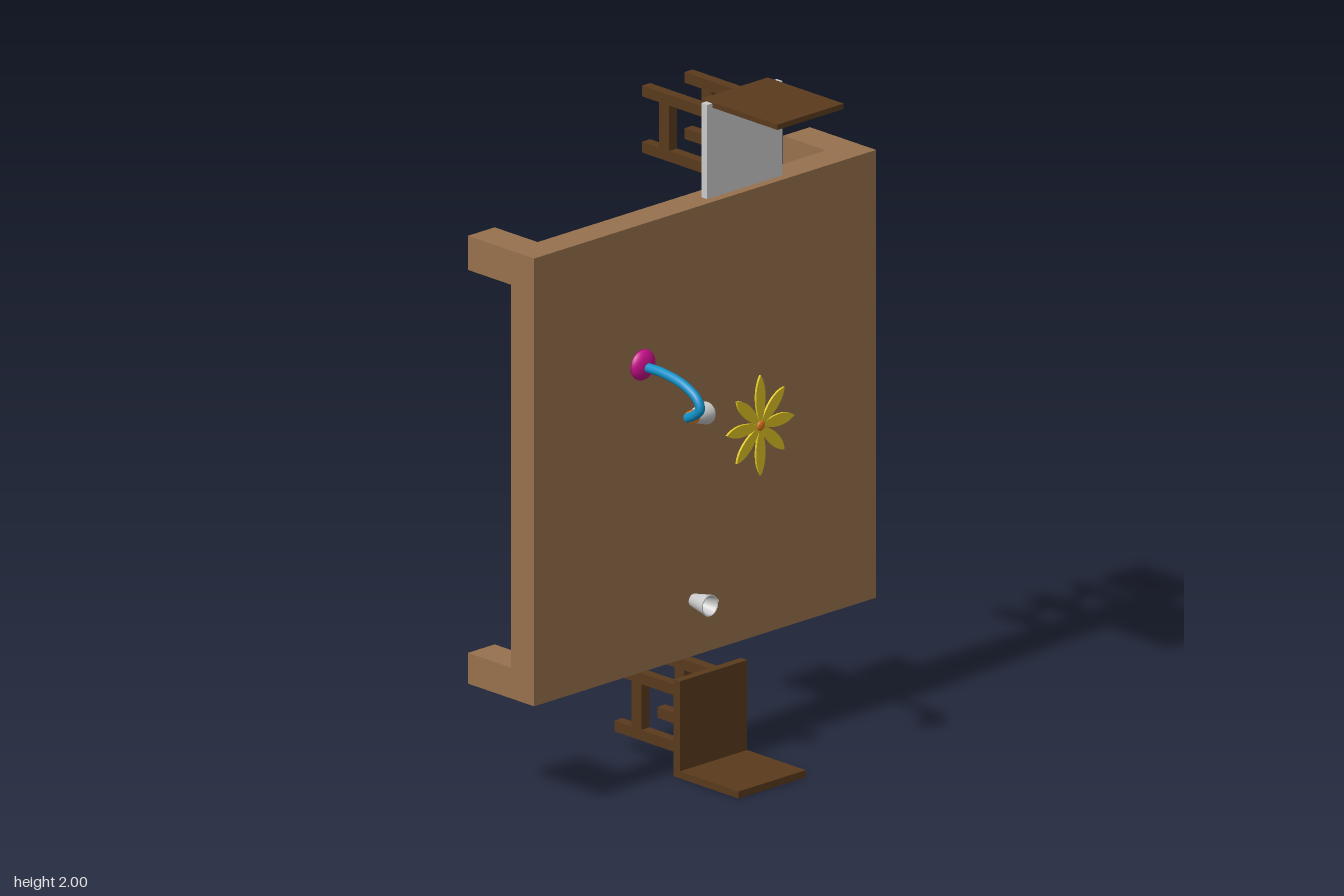
import * as THREE from 'three';

const mat = (color, side = THREE.FrontSide) => new THREE.MeshStandardMaterial({ color, side });
const wood = mat(0x97714d);
const darkWood = mat(0x5a3a1d);
const grey = mat(0xcccccc);
const greyOpen = mat(0xcccccc, THREE.DoubleSide);
const magenta = mat(0xc8108a);
const blue = mat(0x1090c8);
const orange = mat(0xe07820);
const yellow = mat(0xdec224);

function add(parent, name, geometry, material) {
  const mesh = new THREE.Mesh(geometry, material);
  mesh.name = name;
  parent.add(mesh);
  return mesh;
}

// Box given by its limits on each axis
function box(parent, name, material, [x0, x1], [y0, y1], [z0, z1]) {
  const mesh = add(parent, name, new THREE.BoxGeometry(x1 - x0, y1 - y0, z1 - z0), material);
  mesh.position.set((x0 + x1) / 2, (y0 + y1) / 2, (z0 + z1) / 2);
  return mesh;
}

// Lathe turned so that its axis runs along +z
function latheZ(points, segments = 32) {
  return new THREE.LatheGeometry(points.map(p => new THREE.Vector2(...p)), segments).rotateX(Math.PI / 2);
}

function group(parent, name) {
  const g = new THREE.Group();
  g.name = name;
  parent.add(g);
  return g;
}

// Table on its side, legs pointing back
function buildTable(parent) {
  const table = group(parent, 'table');
  box(table, 'tableTop', wood, [-0.67, 0.67], [0.34, 1.68], [-0.115, -0.02]);
  for (const x of [[-0.67, -0.565], [0.565, 0.67]])
    for (const y of [[0.34, 0.432], [1.578, 1.68]])
      box(table, 'tableLeg', wood, x, y, [-0.29, -0.115]);
}

// Chair on its side: seat, backrest, four legs and a stretcher on each side
function buildChair(parent, name, { seatX, seatY, seatZ, backX, backY, backZ, legX, legY }) {
  const chair = group(parent, name);
  box(chair, 'seat', darkWood, seatX, seatY, seatZ);
  box(chair, 'backrest', darkWood, backX, backY, backZ);
  for (const x of legX) {
    const span = [x - 0.016, x + 0.016];
    for (const y of legY) box(chair, 'chairLeg', darkWood, span, [y - 0.016, y + 0.016], [-0.29, seatZ[0]]);
    box(chair, 'stretcher', darkWood, span, [legY[0] + 0.016, legY[1] - 0.016], [-0.22, -0.18]);
  }
  return chair;
}

// Desk lamp: domed base, bent arm, collar and flared shade
function buildLamp(parent) {
  const lamp = group(parent, 'lamp');
  lamp.position.x = -0.286;
  const dome = [[0, 0], [0.046, 0]];
  for (let i = 1; i <= 8; i++) {
    const a = (i / 8) * Math.PI / 2;
    dome.push([0.046 * Math.cos(a), 0.026 * Math.sin(a)]);
  }
  add(lamp, 'lampBase', latheZ(dome), magenta).position.set(0, 1.28, 0.021);

  const path = new THREE.CatmullRomCurve3([
    [1.276, 0.03], [1.276, 0.11], [1.26, 0.195], [1.232, 0.245], [1.205, 0.257], [1.182, 0.235], [1.166, 0.205],
  ].map(([y, z]) => new THREE.Vector3(0, y, z)));
  add(lamp, 'lampArm', new THREE.TubeGeometry(path, 48, 0.014, 16), blue);

  const head = group(lamp, 'lampHead');
  head.position.set(0, 1.17, 0.215);
  head.lookAt(0, 1.13, 0.138);
  add(head, 'lampCollar', latheZ([[0, 0], [0.018, 0], [0.02, 0.026], [0, 0.026]], 24), orange);
  add(head, 'lampShade', latheZ([[0, 0.024], [0.02, 0.024], [0.033, 0.087], [0.029, 0.087], [0.017, 0.03], [0, 0.03]]), greyOpen);
}

// Eight pointed petals around a small round centre
function buildFlower(parent) {
  const flower = group(parent, 'flower');
  flower.position.set(0.212, 0.968, -0.02);
  for (let i = 0; i < 8; i++) {
    const length = i % 4 === 2 ? 0.15 : 0.132;
    const petal = new THREE.Shape();
    petal.moveTo(0, 0);
    petal.bezierCurveTo(length * 0.35, 0.022, length * 0.75, 0.026, length, 0);
    petal.bezierCurveTo(length * 0.75, -0.026, length * 0.35, -0.022, 0, 0);
    const geometry = new THREE.ExtrudeGeometry(petal, { depth: 0.007, bevelEnabled: false, curveSegments: 10 });
    add(flower, 'petal', geometry, yellow).rotation.z = i * Math.PI / 4;
  }
  add(flower, 'flowerCentre', latheZ([[0, 0], [0.016, 0], [0.016, 0.007], [0.01, 0.011], [0, 0.012]], 20), orange);
}

// Hollow tapered cup with a side handle
function buildCup(parent) {
  const cup = group(parent, 'cup');
  cup.position.set(-0.056, 0.512, -0.009);
  const wall = [[0, 0], [0.019, 0], [0.032, 0.067], [0.028, 0.067], [0.016, 0.005], [0, 0.005]];
  add(cup, 'cupBody', latheZ(wall), greyOpen);
  const handle = new THREE.CatmullRomCurve3([[0.026, 0.056], [0.042, 0.054], [0.045, 0.04], [0.036, 0.024], [0.021, 0.018]]
    .map(([x, z]) => new THREE.Vector3(x, 0, z)));
  add(cup, 'cupHandle', new THREE.TubeGeometry(handle, 20, 0.0045, 10), grey);
}

export function createModel() {
  const model = new THREE.Group();
  model.name = 'tableSet';
  buildTable(model);
  const upper = buildChair(model, 'upperChair', {
    seatX: [-0.015, 0.245], seatY: [1.73, 2.0], seatZ: [-0.02, 0.003],
    backX: [-0.015, 0.245], backY: [1.984, 2.0], backZ: [-0.02, 0.29],
    legX: [0.028, 0.195], legY: [1.78, 1.948],
  });
  box(upper, 'cushion', grey, [-0.035, 0.26], [1.715, 1.997], [0.001, 0.025]);
  buildChair(model, 'lowerChair', {
    seatX: [-0.127, 0.137], seatY: [0.003, 0.29], seatZ: [-0.017, 0.009],
    backX: [-0.127, 0.137], backY: [0, 0.021], backZ: [-0.017, 0.248],
    legX: [-0.08, 0.088], legY: [0.074, 0.243],
  });
  buildLamp(model);
  buildFlower(model);
  buildCup(model);
  return model;
}
